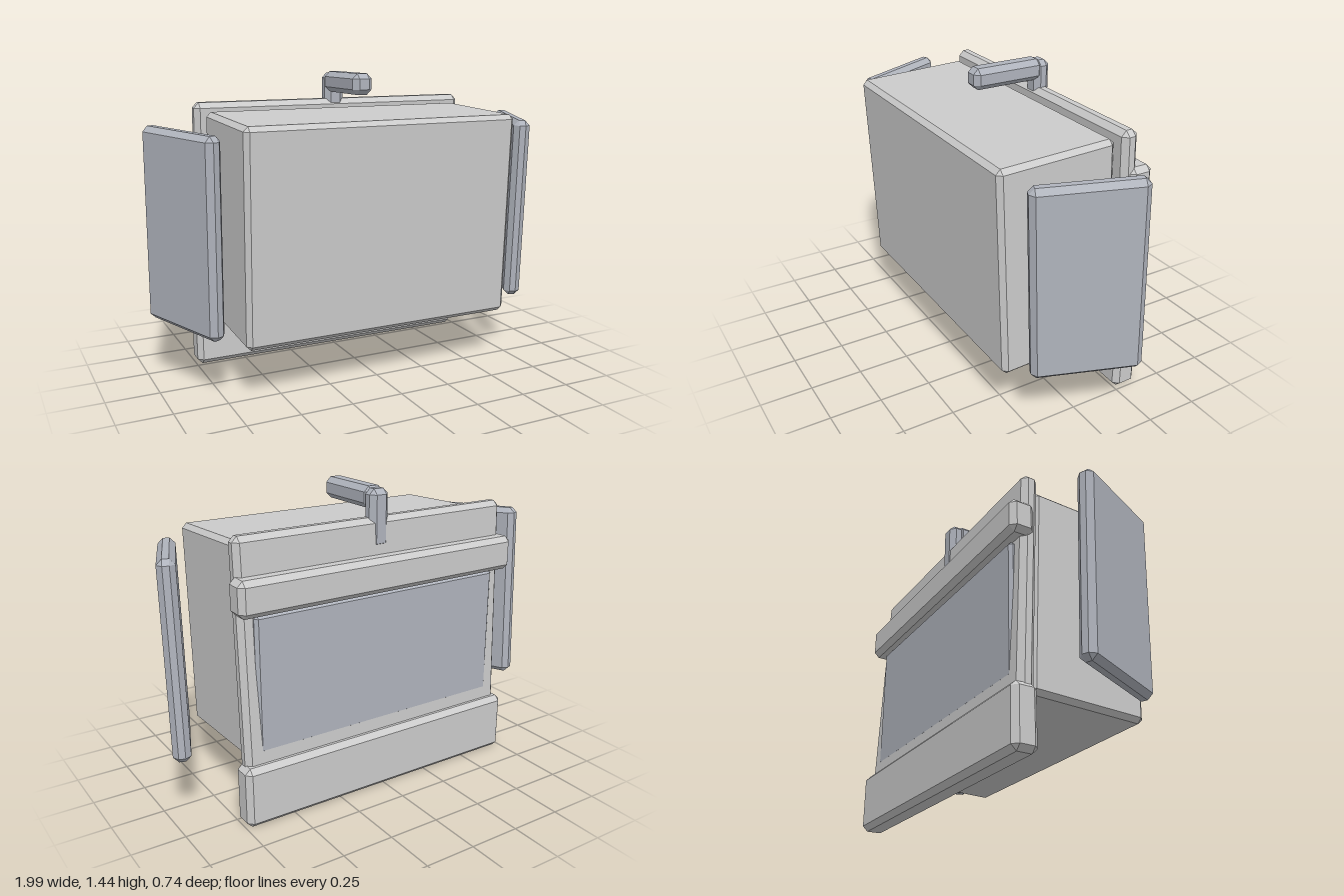
import * as THREE from 'three';
import { ConvexGeometry } from 'three/addons/geometries/ConvexGeometry.js';

const grey = new THREE.MeshStandardMaterial({ color: 0xcccccc, flatShading: true });
const blueGrey = new THREE.MeshStandardMaterial({ color: 0xb0b4bd, flatShading: true });
const TILT = 0.037;

// Box with every edge and corner cut flat
function chamferBox(w, h, d, c) {
  const points = [];
  for (const sx of [-1, 1]) for (const sy of [-1, 1]) for (const sz of [-1, 1]) {
    const x = w / 2, y = h / 2, z = d / 2;
    points.push(
      new THREE.Vector3(sx * x, sy * (y - c), sz * (z - c)),
      new THREE.Vector3(sx * (x - c), sy * y, sz * (z - c)),
      new THREE.Vector3(sx * (x - c), sy * (y - c), sz * z));
  }
  return new ConvexGeometry(points);
}

export function createModel() {
  const model = new THREE.Group();
  model.name = 'panelUnit';

  function add(name, material, size, position, chamfer = 0.025, rx = 0, ry = 0) {
    const mesh = new THREE.Mesh(chamferBox(...size, chamfer), material);
    mesh.name = name;
    mesh.position.set(...position);
    mesh.rotation.set(rx, ry, 0);
    model.add(mesh);
  }

  // Main body and the backing plate, both leaning slightly forward
  add('body', grey, [1.36, 0.993, 0.575], [0, 0.762, 0.065], 0.022, TILT);
  add('backPlate', grey, [1.45, 1.09, 0.08], [0, 0.765, -0.27], 0.025, TILT);

  // Horizontal rails across the back
  add('lowerRail', grey, [1.49, 0.29, 0.12], [0, 0.145, -0.306]);
  add('upperRail', grey, [1.49, 0.165, 0.12], [0, 1.06, -0.306]);

  // Upright panel between the rails
  add('backPanel', blueGrey, [1.32, 0.64, 0.075], [0, 0.655, -0.288], 0.015);

  // Bracket hooked over the top
  add('bracketPost', blueGrey, [0.1, 0.27, 0.08], [0, 1.302, -0.256]);
  add('bracketArm', blueGrey, [0.1, 0.1, 0.365], [0, 1.394, -0.073]);

  // Angled side wings
  for (const [name, s] of [['leftWing', 1], ['rightWing', -1]]) {
    add(name, blueGrey, [0.08, 0.908, 0.49], [s * 0.873, 0.762, 0.057], 0.025, TILT, -s * 0.39);
  }
  return model;
}
